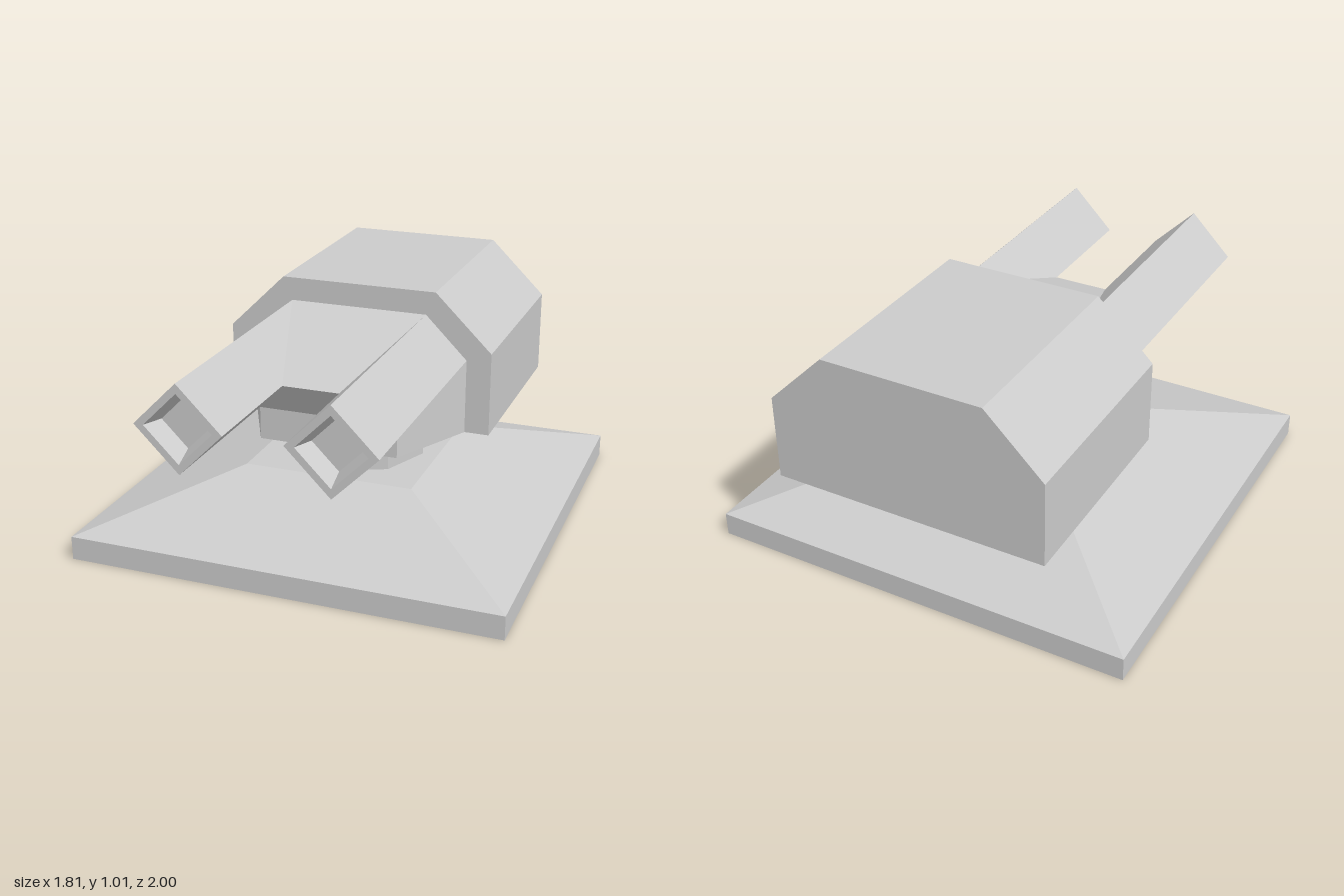
import * as THREE from 'three';
import { ConvexGeometry } from 'three/addons/geometries/ConvexGeometry.js';

const material = new THREE.MeshStandardMaterial({ color: 0xcccccc, flatShading: true });
const AXIS_Z = -0.09; // turning axis of the turret

function addPart(parent, name, geometry) {
  const mesh = new THREE.Mesh(geometry, material);
  mesh.name = name;
  parent.add(mesh);
  return mesh;
}

// Faceted solid turned from a bottom-to-top [radius, height] profile
function turned(profile, sides) {
  return new THREE.LatheGeometry(profile.map(([r, h]) => new THREE.Vector2(r, h)), sides);
}

// Convex solid from corner points mirrored across x
function mirroredHull(corners) {
  return new ConvexGeometry(corners.flatMap(([x, y, z]) => [
    new THREE.Vector3(x, y, z), new THREE.Vector3(-x, y, z),
  ]));
}

export function createModel() {
  const model = new THREE.Group();
  model.name = 'gunTurret';

  // Square plinth with a sloped top
  const k = Math.SQRT2;
  const base = addPart(model, 'base', turned(
    [[0, 0], [0.907 * k, 0], [0.907 * k, 0.1], [0.365 * k, 0.285], [0, 0.285]], 4));
  base.rotation.y = Math.PI / 4;
  base.position.z = AXIS_Z;

  // Octagonal swivel neck
  const neck = addPart(model, 'neck', new THREE.CylinderGeometry(0.3, 0.3, 0.125, 8));
  neck.position.set(0, 0.3475, AXIS_Z);

  const turret = new THREE.Group();
  turret.name = 'turret';
  model.add(turret);

  // Rear housing with chamfered shoulders
  const outline = new THREE.Shape([
    [-0.585, 0.41], [0.585, 0.41], [0.585, 0.77], [0.34, 1.01], [-0.34, 1.01], [-0.585, 0.77],
  ].map(([x, y]) => new THREE.Vector2(x, y)));
  const housing = addPart(turret, 'housing',
    new THREE.ExtrudeGeometry(outline, { depth: 0.91, bevelEnabled: false }));
  housing.position.z = -1;

  // Gun mount: tapered lower block and the wedge between the barrels
  addPart(turret, 'mountLower', mirroredHull([
    [0.48, 0.41, -0.09], [0.48, 0.73, -0.09], [0.3, 0.41, 0.27], [0.3, 0.55, 0.27],
  ]));
  addPart(turret, 'mountUpper', mirroredHull([
    [0.3, 0.91, -0.09], [0.48, 0.73, -0.09], [0.12, 0.73, 0.45], [0.3, 0.55, 0.27],
  ]));

  // Diamond-section barrels with tapered, recessed muzzles
  const barrelGeometry = turned(
    [[0, -0.09], [0.18, -0.09], [0.18, 1], [0.14, 1], [0.105, 0.92], [0, 0.92]], 4);
  barrelGeometry.rotateX(Math.PI / 2);
  for (const [name, side] of [['leftBarrel', 1], ['rightBarrel', -1]]) {
    addPart(turret, name, barrelGeometry).position.set(side * 0.3, 0.73, 0);
  }

  return model;
}
